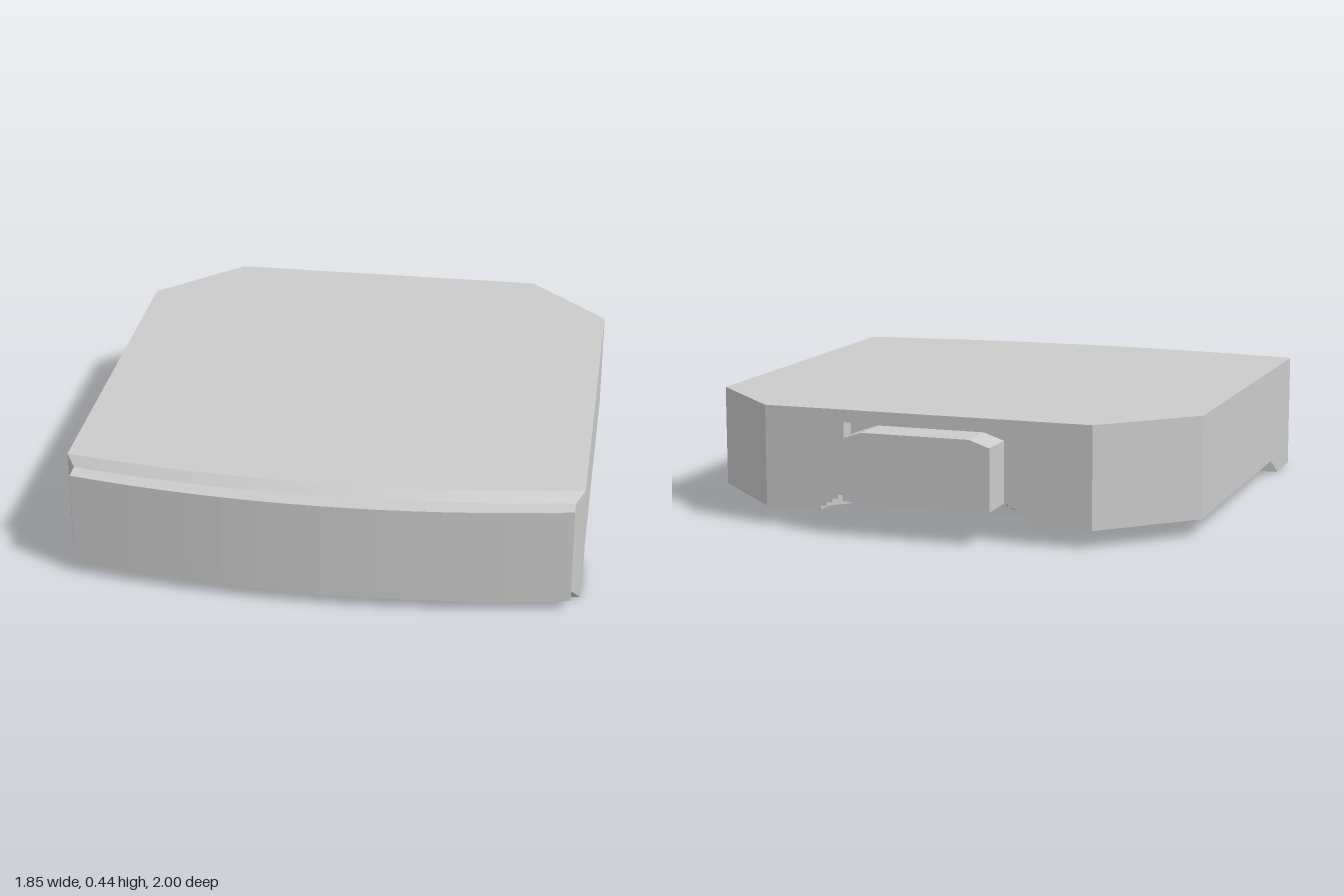
import * as THREE from 'three';

const material = new THREE.MeshStandardMaterial({ color: 0xcccccc, flatShading: true });
const SEGMENTS = 16;

// Points along a shallow bowed front edge, from +x to -x
function frontArc(halfWidth, zSide, zMiddle) {
  const points = [];
  for (let i = 0; i <= SEGMENTS; i++) {
    const t = 1 - (2 * i) / SEGMENTS;
    points.push([halfWidth * t, zMiddle - (zMiddle - zSide) * t * t]);
  }
  return points;
}

// Left-hand points followed by their mirror image
const mirrored = (points) => [...points, ...points.slice().reverse().map(([x, z]) => [-x, z])];

function shapeFrom(points) {
  return new THREE.Shape(points.map(([x, y]) => new THREE.Vector2(x, y)));
}

function addMesh(group, name, geometry) {
  const mesh = new THREE.Mesh(geometry, material);
  mesh.name = name;
  group.add(mesh);
}

// Flat plate with an outline in x and z, between two heights
function addPlate(group, name, outline, y0, y1) {
  const shape = shapeFrom(outline.map(([x, z]) => [x, -z]));
  const geometry = new THREE.ExtrudeGeometry(shape, { depth: y1 - y0, bevelEnabled: false });
  geometry.rotateX(-Math.PI / 2);
  geometry.translate(0, y0, 0);
  addMesh(group, name, geometry);
}

// Main housing outline; notch lists the right half of an opening in the back edge
function housingOutline(notch = []) {
  const back = [[-0.925, -0.6], [-0.615, -0.905], ...mirrored(notch), [0.615, -0.905], [0.925, -0.6]];
  return [...frontArc(0.925, 0.82, 0.9), ...back];
}

function latchNotch(halfWidth, depth, corner) {
  return [
    [-halfWidth, -0.905],
    [-halfWidth, -0.905 + depth - corner],
    [-halfWidth + corner, -0.905 + depth],
  ];
}

// Bevelled frame between the housing face and the smaller front panel
function bevelGeometry() {
  const ring = (arc, y0, y1) => [
    ...arc.map(([x, z]) => [x, y0, z]),
    ...arc.slice().reverse().map(([x, z]) => [x, y1, z]),
  ];
  const outer = ring(frontArc(0.925, 0.82, 0.9), 0, 0.435);
  const inner = ring(frontArc(0.895, 0.85, 0.93), 0.04, 0.4);
  const positions = [];
  const n = outer.length;
  for (let i = 0; i < n; i++) {
    const j = (i + 1) % n;
    positions.push(...outer[i], ...inner[j], ...outer[j], ...outer[i], ...inner[i], ...inner[j]);
  }
  const geometry = new THREE.BufferGeometry();
  geometry.setAttribute('position', new THREE.Float32BufferAttribute(positions, 3));
  geometry.computeVertexNormals();
  return geometry;
}

export function createModel() {
  const model = new THREE.Group();
  model.name = 'cartridge';

  // Housing: closed top, then the walls around the latch recess
  addPlate(model, 'housingTop', housingOutline(), 0.39, 0.435);
  addPlate(model, 'housingBody', housingOutline(latchNotch(0.31, 0.055, 0.005)), 0.125, 0.39);

  // Finger steps below the latch, widening downwards
  for (let k = 0; k < 4; k++) {
    const top = 0.125 - k * 0.015;
    const notch = latchNotch(0.335 + k * 0.022, 0.075 + k * 0.02, 0.06);
    addPlate(model, 'latchStep', housingOutline(notch), top - 0.015, top);
  }

  // Underside: full-width front and narrower raised pad, stepped at the front and in the side grips
  const stepZ = [0.61, 0.58, 0.545, 0.51];
  for (let k = 0; k < 4; k++) {
    const gripX = 0.45 + k * 0.025;
    const side = [
      [-0.925, stepZ[k]],
      [-0.55, stepZ[k]],
      [-0.55, 0.05],
      [-0.535, 0.02],
      [-gripX, 0.02],
      [-gripX, -0.23],
      [-0.535, -0.23],
      [-0.55, -0.26],
      [-0.55, -0.335],
      [-0.415, -0.47],
    ];
    const outline = [...frontArc(0.925, 0.82, 0.9), ...mirrored(side)];
    addPlate(model, 'undersidePad', outline, k * 0.01625, (k + 1) * 0.01625);
  }

  // Front face
  addMesh(model, 'frontBevel', bevelGeometry());
  addPlate(model, 'frontPanel', [...frontArc(0.895, 0.915, 1), ...frontArc(0.895, 0.82, 0.9).reverse()], 0.04, 0.4);

  // Rear latch with clipped upper corners
  const latch = shapeFrom(mirrored([[-0.2, 0.375], [-0.275, 0.35], [-0.275, 0.125]]));
  const latchGeometry = new THREE.ExtrudeGeometry(latch, { depth: 0.15, bevelEnabled: false });
  latchGeometry.translate(0, 0, -1);
  addMesh(model, 'rearLatch', latchGeometry);

  return model;
}
